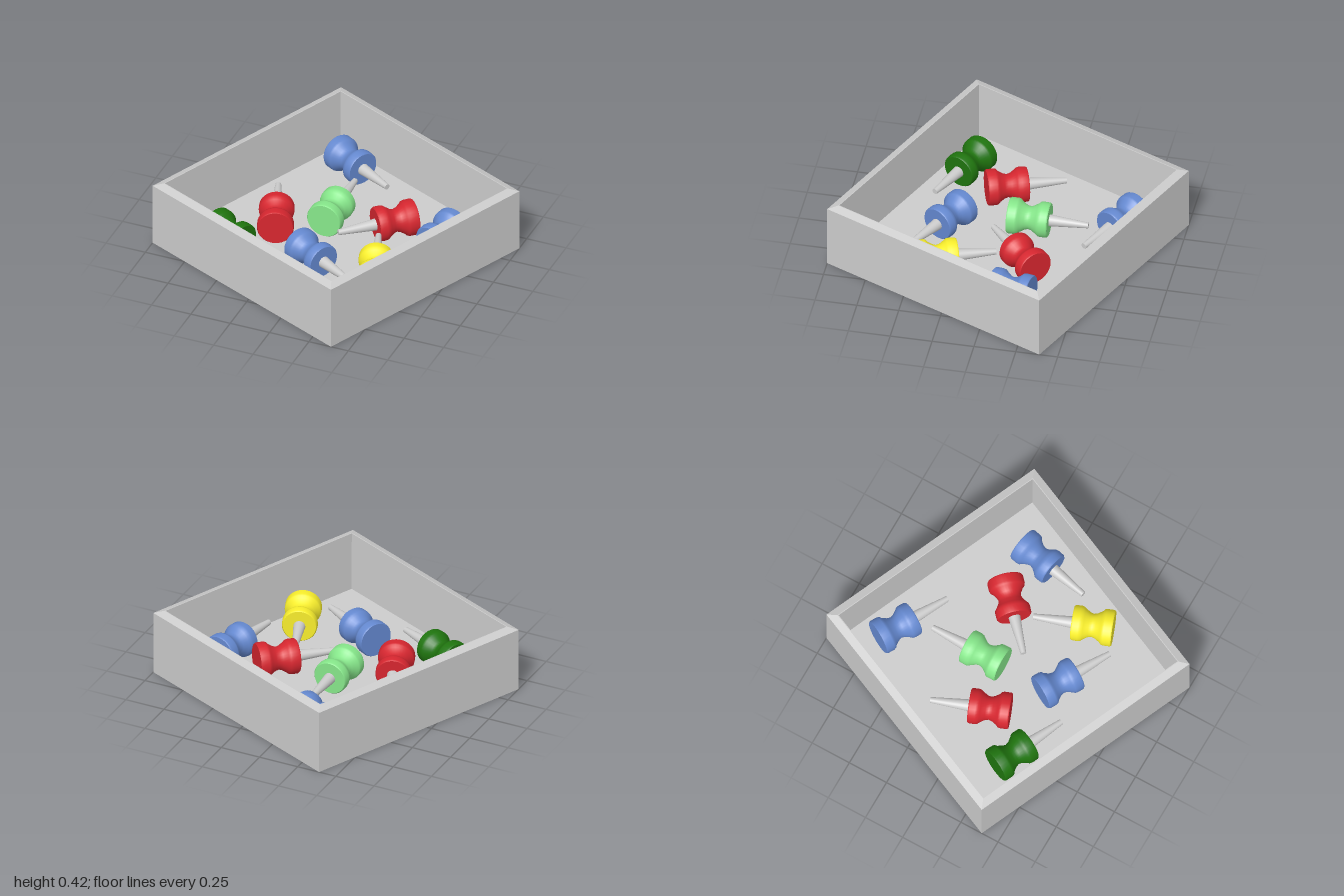
import * as THREE from 'three';

const FLOOR = 0.05;
const HEAD_RADIUS = 0.108;
const BOX_TURN = Math.atan2(0.39, 1);

const BLUE = 0x6488cf, RED = 0xd6262f, LIME = 0x86e68a, GREEN = 0x1f740e, YELLOW = 0xf8ee2c;

// colour, head end [x, z], needle tip [x, z]
const PINS = [
  [BLUE, [-0.29, -0.71], [0.12, -0.48]],
  [LIME, [-0.075, 0.01], [-0.075, -0.46]],
  [RED, [0.395, -0.245], [0.055, 0.07]],
  [BLUE, [0.635, -0.265], [0.54, 0.2]],
  [RED, [-0.305, 0.19], [-0.47, -0.245]],
  [GREEN, [-0.645, 0.28], [-0.225, 0.475]],
  [BLUE, [-0.12, 0.285], [0.29, 0.515]],
  [YELLOW, [0.44, 0.46], [0.28, 0.025]],
];

const toPoints = (list, scale = 1) => list.map(([r, y]) => new THREE.Vector2(r * scale, y));

// Open square tray: a four-sided lathe of half-width / height pairs
function makeTray() {
  const profile = toPoints([
    [0, 0], [0.759, 0], [0.759, 0.4], [0.713, 0.418], [0.708, 0.418], [0.7, FLOOR], [0, FLOOR],
  ], Math.SQRT2);
  const geometry = new THREE.LatheGeometry(profile, 4, BOX_TURN);
  const tray = new THREE.Mesh(geometry, new THREE.MeshStandardMaterial({ color: 0xcccccc, flatShading: true }));
  tray.name = 'tray';
  return tray;
}

// Spool-shaped grip; doubled points keep the end faces crisp
const gripGeometry = new THREE.LatheGeometry(toPoints([
  [0, 0], [0.103, 0], [0.103, 0], [HEAD_RADIUS, 0.008], [HEAD_RADIUS, 0.05], [0.104, 0.063], [0.092, 0.073],
  [0.075, 0.1], [0.068, 0.122], [0.073, 0.143], [0.092, 0.172], [0.102, 0.184], [0.105, 0.2],
  [0.104, 0.235], [0.098, 0.243], [0.098, 0.243], [0, 0.243],
]), 32);

// Tapered needle
const needleGeometry = new THREE.CylinderGeometry(0.017, 0.036, 0.24, 24);
needleGeometry.translate(0, 0.355, 0);

function makePin([color, head, tip]) {
  const pin = new THREE.Group();
  pin.name = 'pushPin';
  const grip = new THREE.Mesh(gripGeometry, new THREE.MeshStandardMaterial({ color }));
  grip.name = 'grip';
  const needle = new THREE.Mesh(needleGeometry, new THREE.MeshStandardMaterial({ color: 0xcccccc }));
  needle.name = 'needle';
  pin.add(grip, needle);

  // Lie on the tray floor, pointing from head to tip
  const direction = new THREE.Vector3(tip[0] - head[0], -0.006, tip[1] - head[1]).normalize();
  pin.quaternion.setFromUnitVectors(new THREE.Vector3(0, 1, 0), direction);
  pin.position.set(head[0], FLOOR + HEAD_RADIUS, head[1]);
  return pin;
}

export function createModel() {
  const model = new THREE.Group();
  model.name = 'trayOfPushPins';
  model.add(makeTray(), ...PINS.map(makePin));
  return model;
}
